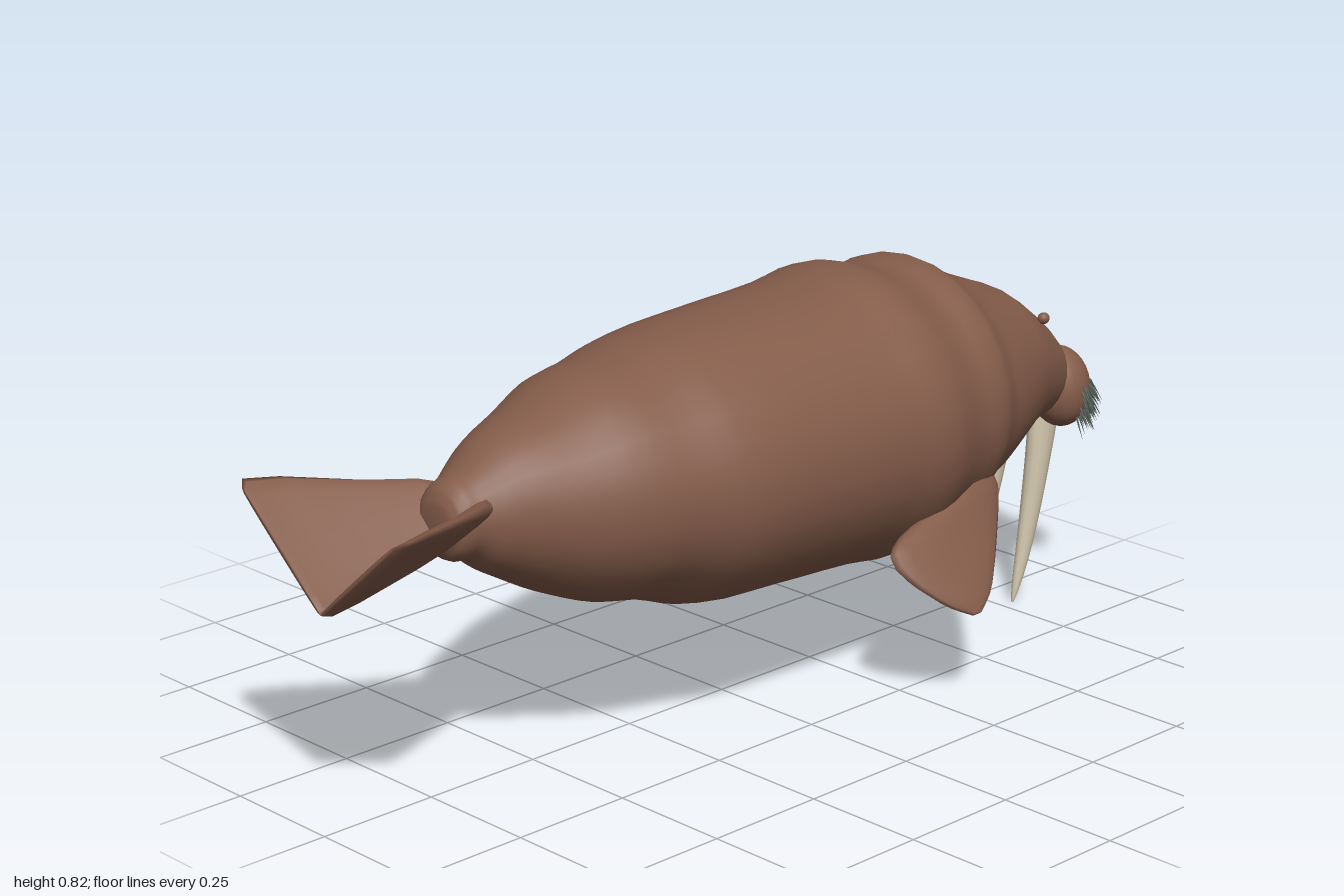
import * as THREE from 'three';
import { mergeGeometries } from 'three/addons/utils/BufferGeometryUtils.js';

const mat = (name, color) => Object.assign(new THREE.MeshStandardMaterial({ color }), { name });

// Skin a list of closed rings (arrays of [x, y, z]), cap both ends, face outward.
function loft(rings) {
  const n = rings[0].length, pos = rings.flat(2), idx = [];
  for (let i = 0; i < rings.length - 1; i++) {
    for (let j = 0; j < n; j++) {
      const a = i * n + j, b = i * n + (j + 1) % n;
      idx.push(a, b, a + n, b, b + n, a + n);
    }
  }
  [0, rings.length - 1].forEach((r) => {
    const c = pos.length / 3;
    pos.push(...[0, 1, 2].map((k) => rings[r].reduce((s, p) => s + p[k], 0) / n));
    for (let j = 0; j < n; j++) {
      const a = r * n + j, b = r * n + (j + 1) % n;
      if (r === 0) idx.push(c, b, a); else idx.push(c, a, b);
    }
  });
  // Signed volume tells which way the skin faces.
  const v = (i) => new THREE.Vector3().fromArray(pos, i * 3);
  let volume = 0;
  for (let i = 0; i < idx.length; i += 3) volume += v(idx[i]).dot(v(idx[i + 1]).cross(v(idx[i + 2])));
  if (volume < 0) idx.reverse();
  const g = new THREE.BufferGeometry();
  g.setAttribute('position', new THREE.Float32BufferAttribute(pos, 3));
  g.setIndex(idx);
  g.computeVertexNormals();
  return g;
}

// Ring of n points made by f(cos, sin).
const ring = (n, f) => Array.from({ length: n }, (_, i) => {
  const a = (i / n) * Math.PI * 2;
  return f(Math.cos(a), Math.sin(a));
});

// Smooth sampling of stations whose first entry is the parameter.
function smooth(stations, steps) {
  const size = stations[0].length - 1;
  const curve = new THREE.CubicInterpolant(stations.map((s) => s[0]), stations.flatMap((s) => s.slice(1)), size);
  const out = [];
  for (let i = 0; i < stations.length - 1; i++) {
    for (let k = 0; k < steps; k++) {
      const t = THREE.MathUtils.lerp(stations[i][0], stations[i + 1][0], k / steps);
      out.push([t, ...curve.evaluate(t)]);
    }
  }
  out.push(stations[stations.length - 1]);
  return out;
}

export function createModel() {
  const hide = mat('brown hide', 0x845c4a);
  const ivory = mat('ivory', 0xcfc4ab);
  const bristle = mat('grey bristle', 0x5f6b62);
  const dark = mat('dark brown', 0x4a3026);

  const model = new THREE.Group();
  model.name = 'walrus';
  model.position.z = 0.015;
  const add = (name, geometry, material) => {
    const m = new THREE.Mesh(geometry, material);
    m.name = name;
    model.add(m);
    return m;
  };
  const ball = (name, material, [x, y, z], [rx, ry, rz]) => {
    const m = add(name, new THREE.SphereGeometry(1, 24, 16), material);
    m.position.set(x, y, z);
    m.scale.set(rx, ry, rz);
    return m;
  };

  // Body and head: x, top, bottom, half width
  const body = smooth([
    [-0.735, 0.57, 0.49, 0.045], [-0.72, 0.6, 0.465, 0.065], [-0.68, 0.62, 0.455, 0.08],
    [-0.65, 0.64, 0.43, 0.1], [-0.6, 0.672, 0.4, 0.13], [-0.5, 0.705, 0.345, 0.185],
    [-0.4, 0.745, 0.305, 0.23], [-0.3, 0.758, 0.285, 0.26], [-0.2, 0.78, 0.25, 0.29],
    [0, 0.795, 0.235, 0.303], [0.2, 0.805, 0.225, 0.312], [0.32, 0.82, 0.213, 0.32],
    [0.42, 0.793, 0.238, 0.292], [0.5, 0.803, 0.25, 0.286], [0.55, 0.775, 0.28, 0.262],
    [0.6, 0.75, 0.3, 0.246], [0.7, 0.71, 0.345, 0.205], [0.75, 0.69, 0.368, 0.182],
    [0.8, 0.655, 0.38, 0.16], [0.85, 0.618, 0.383, 0.135], [0.9, 0.57, 0.39, 0.105],
    [0.935, 0.53, 0.41, 0.07], [0.953, 0.49, 0.44, 0.03],
  ], 3).map(([x, top, bottom, w]) => ring(28, (c, s) => [x, (top + bottom) / 2 + c * (top - bottom) / 2, s * w]));
  add('body', loft(body), hide);

  // Nose, nostril and lower lip
  ball('nose', hide, [0.92, 0.49, 0], [0.045, 0.045, 0.047]);
  ball('nostril', dark, [0.963, 0.49, 0], [0.004, 0.008, 0.009]);
  ball('lowerLip', hide, [0.885, 0.385, 0], [0.045, 0.025, 0.035]);

  for (const side of [1, -1]) {
    const label = side > 0 ? 'left' : 'right';

    // Whisker pad
    const pad = [0.892, 0.46, 0.082], radii = [0.068, 0.086, 0.064];
    ball(label + 'WhiskerPad', hide, [pad[0], pad[1], side * pad[2]], radii).rotation.x = -side * 0.2;

    // Bristles in rows over the lower front of the pad
    const bristles = [];
    for (let r = 0; r < 6; r++) {
      for (let k = 0; k < 15; k++) {
        const az = -0.75 + 2.4 * (k + (r % 2) / 2) / 15;
        const el = 0.08 - r * 0.15 + 0.05 * Math.sin(k * 2.3 + r);
        const n = new THREE.Vector3(Math.cos(az) * Math.cos(el), Math.sin(el), Math.sin(az) * Math.cos(el));
        const dir = new THREE.Vector3(n.x * 0.55, -0.85, n.z * 0.45).normalize();
        const length = 0.045 + 0.01 * Math.sin(k * 5.1 + r * 3.7);
        const cone = new THREE.ConeGeometry(0.0028, length, 5).translate(0, length / 2, 0);
        cone.applyQuaternion(new THREE.Quaternion().setFromUnitVectors(new THREE.Vector3(0, 1, 0),
          new THREE.Vector3(dir.x, dir.y, dir.z * side)));
        cone.translate(pad[0] + n.x * radii[0], pad[1] + n.y * radii[1], side * (pad[2] + n.z * radii[2]));
        bristles.push(cone);
      }
    }
    add(label + 'Whiskers', mergeGeometries(bristles), bristle);

    // Tusk: drop, x, z, radius along x, radius along z
    const tusk = smooth([
      [-0.45, 0.885, 0.053, 0.042, 0.025], [-0.37, 0.873, 0.055, 0.038, 0.025],
      [-0.3, 0.86, 0.057, 0.031, 0.024], [-0.2, 0.84, 0.059, 0.025, 0.02],
      [-0.1, 0.815, 0.062, 0.018, 0.014], [-0.03, 0.793, 0.064, 0.009, 0.008],
      [0, 0.784, 0.064, 0.003, 0.003],
    ], 3).map(([y, x, z, rx, rz]) => ring(14, (c, s) => [x + c * rx, -y, side * z + s * rz]));
    add(label + 'Tusk', loft(tusk), ivory);

    // Eye with lid
    ball(label + 'EyeLid', hide, [0.803, 0.63, side * 0.11], [0.013, 0.012, 0.012]);
    ball(label + 'Eye', ivory, [0.811, 0.632, side * 0.108], [0.007, 0.008, 0.007]);

    // Fore flipper: reach, rear x, front x, half thickness
    const [z0, y0, dz, dy] = side > 0 ? [0.225, 0.4, 0.66, -0.75] : [0.21, 0.385, 0.79, -0.57];
    const fore = smooth([
      [-0.05, 0.4, 0.49, 0.024], [0, 0.385, 0.508, 0.03], [0.04, 0.31, 0.51, 0.03],
      [0.073, 0.2, 0.49, 0.028], [0.105, 0.153, 0.465, 0.024], [0.16, 0.163, 0.42, 0.019],
      [0.2, 0.193, 0.385, 0.016], [0.24, 0.232, 0.345, 0.012], [0.268, 0.275, 0.3, 0.005],
    ], 2).map(([v, xa, xb, t]) => ring(16, (c, s) => [
      (xa + xb) / 2 + c * (xb - xa) / 2,
      y0 + v * dy + s * t * dz,
      side * (z0 + v * dz - s * t * dy),
    ]));
    add(label + 'ForeFlipper', loft(fore), hide);

    // Hind flipper: x, inner y, outer y, outer z, half thickness
    const hind = [
      [-1, 0.43, 0.615, 0.215, 0.005], [-0.985, 0.425, 0.625, 0.234, 0.009],
      [-0.92, 0.437, 0.62, 0.21, 0.012], [-0.8, 0.465, 0.6, 0.15, 0.015],
      [-0.7, 0.495, 0.588, 0.1, 0.018], [-0.64, 0.52, 0.57, 0.06, 0.018],
    ].map(([x, yi, yo, zo, t]) => {
      const len = Math.hypot(yo - yi, zo), ny = zo / len, nz = -(yo - yi) / len;
      return ring(16, (c, s) => {
        const u = (1 + c) / 2;
        const th = Math.sign(s) * Math.sqrt(Math.abs(s)) * t;
        return [x, yi + u * (yo - yi) + th * ny, side * (u * zo + th * nz)];
      });
    });
    add(label + 'HindFlipper', loft(hind), hide);
  }
  return model;
}
